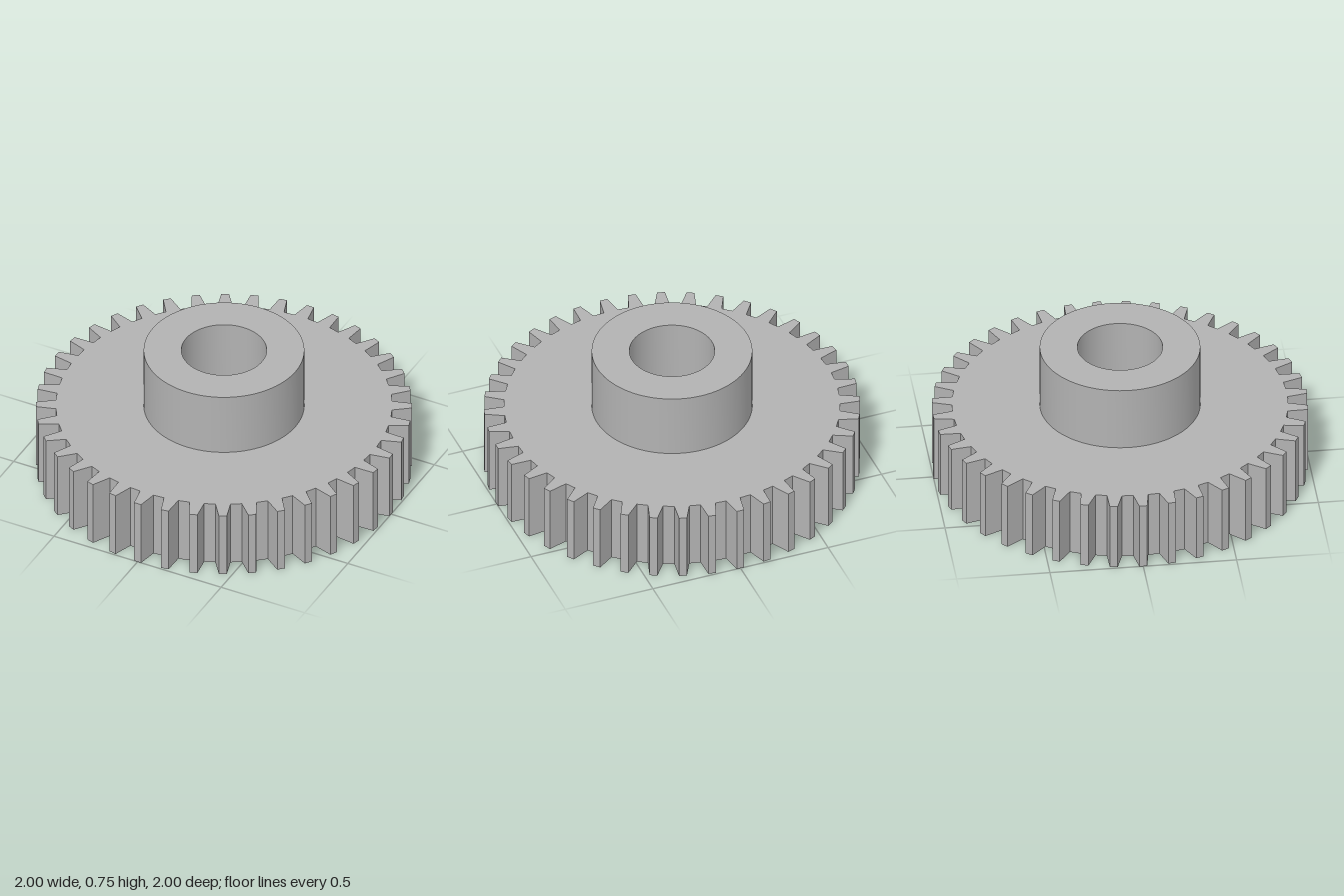
import * as THREE from 'three';
import { toCreasedNormals } from 'three/addons/utils/BufferGeometryUtils.js';

const TEETH = 40;
const ROOT_RADIUS = 0.893;
const TIP_RADIUS = 1;
const GEAR_HEIGHT = 0.383;
const HUB_RADIUS = 0.427;
const HUB_TOP = 0.745;
const SEGMENTS = 96;

// Toothed ring with straight-sided teeth, open in the middle for the hub
function toothedRing() {
  const points = [];
  const corners = [[ROOT_RADIUS, -0.04], [TIP_RADIUS, -0.021], [TIP_RADIUS, 0.021], [ROOT_RADIUS, 0.04]];
  for (let i = 0; i < TEETH; i++) {
    const angle = (i / TEETH) * Math.PI * 2;
    for (const [radius, offset] of corners) {
      points.push(new THREE.Vector2(radius, offset).rotateAround(new THREE.Vector2(), angle));
    }
  }
  const shape = new THREE.Shape(points);
  shape.holes.push(new THREE.Path().absarc(0, 0, HUB_RADIUS, 0, Math.PI * 2, true));
  const geometry = new THREE.ExtrudeGeometry(shape, {
    depth: GEAR_HEIGHT, bevelEnabled: false, curveSegments: SEGMENTS,
  });
  return geometry.rotateX(-Math.PI / 2);
}

// Hub with a wide upper bore, a narrow shaft hole and a recess underneath
function hub() {
  const profile = [
    [HUB_RADIUS, 0], [HUB_RADIUS, HUB_TOP],
    [0.227, HUB_TOP], [0.227, 0.19],
    [0.11, 0.19], [0.11, 0.09],
    [0.186, 0.09], [0.186, 0],
    [HUB_RADIUS, 0],
  ].map(([r, y]) => new THREE.Vector2(r, y));
  return toCreasedNormals(new THREE.LatheGeometry(profile, SEGMENTS), Math.PI / 6);
}

export function createModel() {
  const steel = new THREE.MeshStandardMaterial({ color: 0xb2b2b2 });
  steel.name = 'steel grey';

  const group = new THREE.Group();
  group.name = 'spurGear';
  for (const [name, geometry] of [['toothedRing', toothedRing()], ['hub', hub()]]) {
    const mesh = new THREE.Mesh(geometry, steel);
    mesh.name = name;
    group.add(mesh);
  }
  return group;
}
